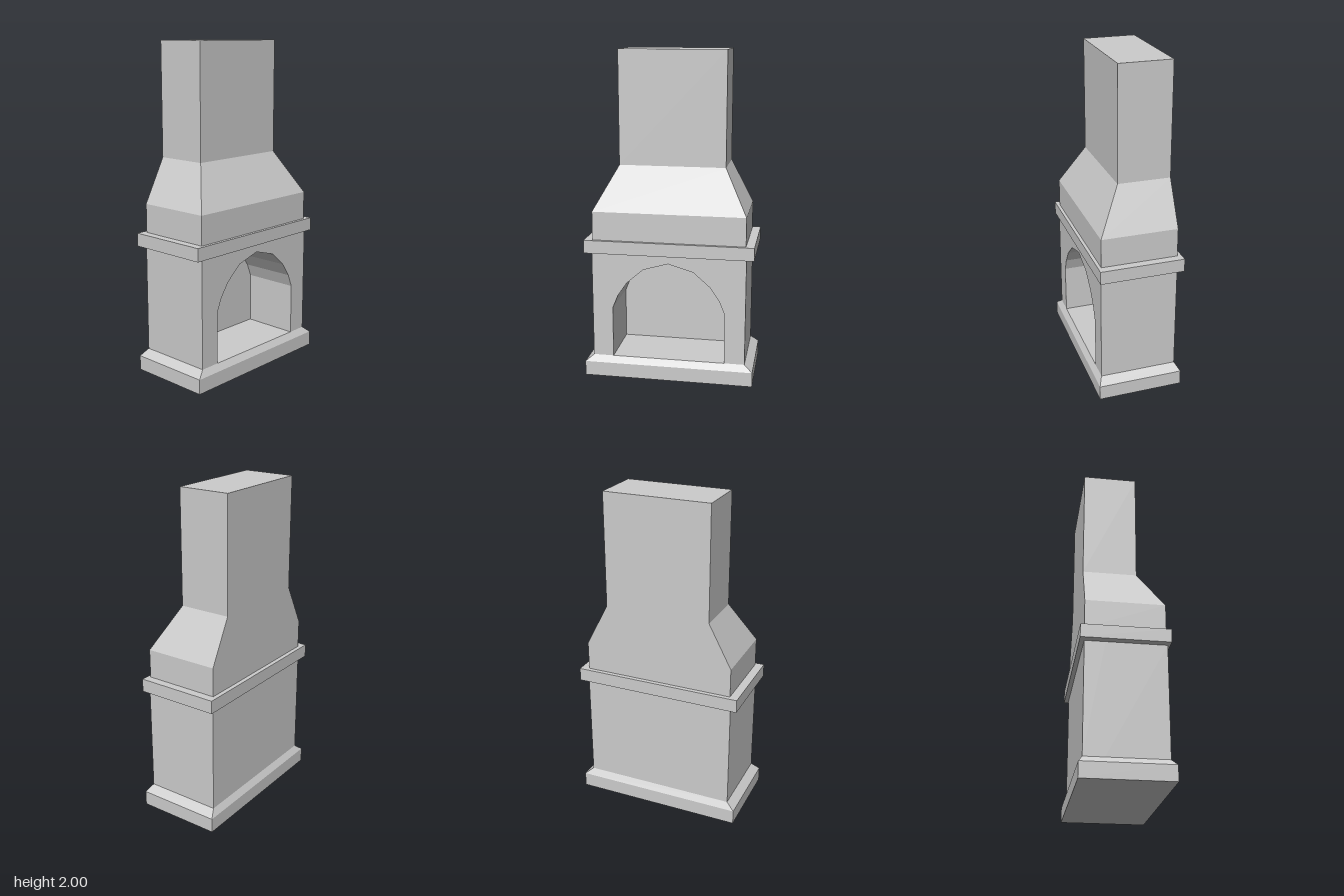
import * as THREE from 'three';

const material = new THREE.MeshStandardMaterial({ color: 0xcccccc, flatShading: true });

function part(name, geometry) {
  const mesh = new THREE.Mesh(geometry, material);
  mesh.name = name;
  return mesh;
}

// Box spanning the given ranges
function block(x0, x1, y0, y1, z0, z1) {
  return new THREE.BoxGeometry(x1 - x0, y1 - y0, z1 - z0)
    .translate((x0 + x1) / 2, (y0 + y1) / 2, (z0 + z1) / 2);
}

// Closed solid through stacked rectangles: [y, xMin, xMax, zHalf]
function loft(levels) {
  const rings = levels.map(([y, x0, x1, z]) => [[x0, y, z], [x1, y, z], [x1, y, -z], [x0, y, -z]]);
  const positions = [];
  const quad = (a, b, c, d) => positions.push(...a, ...b, ...c, ...a, ...c, ...d);
  for (let k = 0; k < rings.length - 1; k++) {
    const lower = rings[k], upper = rings[k + 1];
    for (let i = 0; i < 4; i++) {
      const j = (i + 1) % 4;
      quad(lower[i], lower[j], upper[j], upper[i]);
    }
  }
  quad(...rings[rings.length - 1]);
  quad(...[...rings[0]].reverse());
  const geometry = new THREE.BufferGeometry();
  geometry.setAttribute('position', new THREE.Float32BufferAttribute(positions, 3));
  geometry.computeVertexNormals();
  return geometry;
}

export function createModel() {
  const group = new THREE.Group();
  group.name = 'fireplace';

  const baseY = 0.13, mantelY = 0.79, halfWidth = 0.47;
  const backX = -0.235, frontX = 0.235, fireboxX = -0.115;

  // Plinth with a sloped upper edge
  group.add(part('plinth', loft([
    [0, -0.26, 0.26, 0.52],
    [0.09, -0.26, 0.26, 0.52],
    [baseY, backX, frontX, halfWidth],
  ])));

  // Surround with a faceted arch opening towards +x
  const halfArch = [[0.345, baseY], [0.345, 0.444], [0.312, 0.525], [0.254, 0.61], [0.153, 0.698]];
  const arch = [
    ...halfArch,
    [0, 0.743],
    ...[...halfArch].reverse().map(([x, y]) => [-x, y]),
  ];
  const outline = [
    [halfWidth, baseY], [halfWidth, mantelY], [-halfWidth, mantelY], [-halfWidth, baseY],
    ...[...arch].reverse(),
  ];
  const shape = new THREE.Shape(outline.map(([x, y]) => new THREE.Vector2(x, y)));
  const surround = new THREE.ExtrudeGeometry(shape, { depth: frontX - fireboxX, bevelEnabled: false });
  surround.rotateY(Math.PI / 2).translate(fireboxX, 0, 0);
  group.add(part('archedSurround', surround));

  // Solid wall behind the firebox
  group.add(part('backWall', block(backX, fireboxX, baseY, mantelY, -halfWidth, halfWidth)));

  // Mantel shelf
  group.add(part('mantelShelf', block(-0.262, 0.25, mantelY, 0.87, -0.516, 0.516)));

  // Hood tapering into the chimney, flush at the back
  group.add(part('hoodAndChimney', loft([
    [0.87, -0.235, 0.23, 0.465],
    [1.045, -0.235, 0.23, 0.465],
    [1.31, -0.235, 0.087, 0.325],
    [2, -0.235, 0.087, 0.325],
  ])));

  return group;
}
